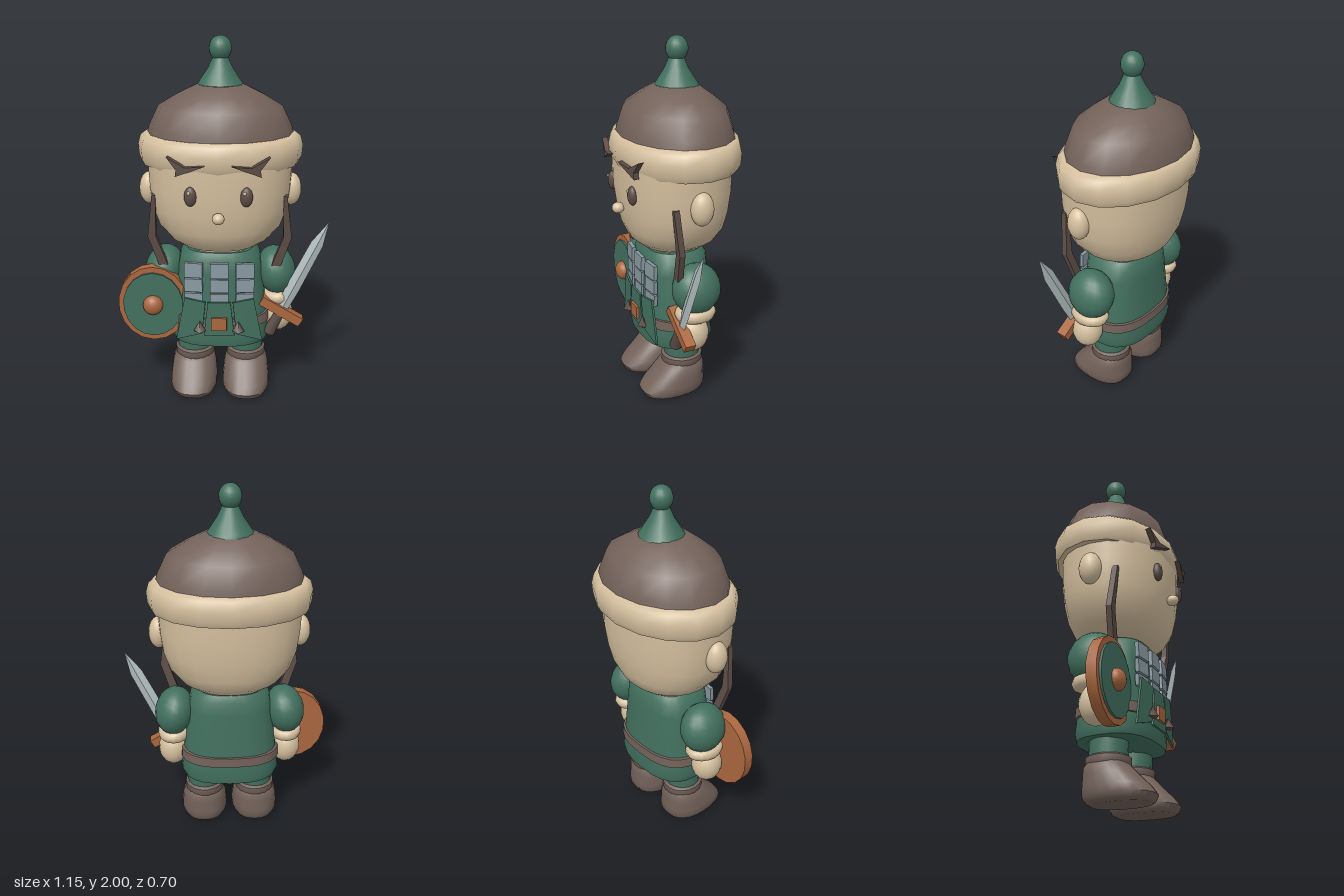
import * as THREE from 'three';
import { toCreasedNormals } from 'three/addons/utils/BufferGeometryUtils.js';

const paint = (name, color) => new THREE.MeshStandardMaterial({ name, color });

// Surface through stacked rings: [y, halfWidth, halfDepth, centreZ]
function loft(rings, { segs = 24, power = 2, crease = 0.75 } = {}) {
  const pos = [], idx = [];
  const curve = (v) => Math.sign(v) * Math.pow(Math.abs(v), 2 / power);
  for (const [y, rx, rz, cz = 0] of rings) {
    for (let i = 0; i < segs; i++) {
      const t = (i / segs) * Math.PI * 2;
      pos.push(rx * curve(Math.cos(t)), y, cz + rz * curve(Math.sin(t)));
    }
  }
  for (let r = 0; r < rings.length - 1; r++) {
    for (let i = 0; i < segs; i++) {
      const j = (i + 1) % segs, a = r * segs + i, b = r * segs + j;
      idx.push(a, a + segs, b, b, a + segs, b + segs);
    }
  }
  const last = (rings.length - 1) * segs, low = pos.length / 3;
  const first = rings[0], top = rings[rings.length - 1];
  pos.push(0, first[0], first[3] || 0, 0, top[0], top[3] || 0);
  for (let i = 0; i < segs; i++) {
    const j = (i + 1) % segs;
    idx.push(low, i, j, low + 1, last + j, last + i);
  }
  const g = new THREE.BufferGeometry();
  g.setAttribute('position', new THREE.Float32BufferAttribute(pos, 3));
  g.setIndex(idx);
  return toCreasedNormals(g, crease);
}

// Flat plate cut from an outline, centred on its thickness
function plate(points, depth) {
  const shape = new THREE.Shape(points.map(([x, y]) => new THREE.Vector2(x, y)));
  return new THREE.ExtrudeGeometry(shape, { depth, bevelEnabled: false }).translate(0, 0, -depth / 2);
}

const ball = (rx, ry, rz) => new THREE.SphereGeometry(1, 18, 12).scale(rx, ry, rz);
const box = (w, h, d) => new THREE.BoxGeometry(w, h, d);

export function createModel() {
  const skin = paint('skin', 0xd6c1a0), brown = paint('brown leather', 0x73625a);
  const dark = paint('dark brown', 0x5d4d47), green = paint('green cloth', 0x42705f);
  const orange = paint('orange wood', 0xab673f), steel = paint('steel', 0xb4c0c0);
  const armour = paint('armour grey', 0x8798a0);

  const model = new THREE.Group();
  const figure = new THREE.Group();
  figure.name = 'figure';
  figure.position.x = -0.015;
  model.add(figure);

  const add = (parent, name, geo, mat, x = 0, y = 0, z = 0) => {
    const m = new THREE.Mesh(geo, mat);
    m.name = name;
    m.position.set(x, y, z);
    parent.add(m);
    return m;
  };

  // Head and face
  add(figure, 'head', loft([
    [0.875, 0.17, 0.15], [0.89, 0.215, 0.19], [0.93, 0.275, 0.235], [1.0, 0.335, 0.265],
    [1.1, 0.37, 0.285], [1.22, 0.385, 0.3], [1.4, 0.395, 0.3],
  ], { power: 2.2, crease: 1 }), skin, 0, 0, 0.005);
  add(figure, 'nose', ball(0.032, 0.03, 0.034), skin, 0, 1.115, 0.315);

  // Hat: fur brim, dome, cone and bobble
  add(figure, 'hatBrim', loft([
    [1.34, 0.38, 0.28], [1.34, 0.425, 0.318], [1.37, 0.44, 0.333], [1.43, 0.444, 0.337],
    [1.48, 0.43, 0.325], [1.5, 0.405, 0.305], [1.5, 0.37, 0.28],
  ], { segs: 16, crease: 1.1 }), skin, 0, 0, -0.015);
  add(figure, 'hatDome', loft([
    [1.48, 0.395, 0.305], [1.53, 0.383, 0.297], [1.64, 0.33, 0.262], [1.7, 0.23, 0.19], [1.752, 0.122, 0.118],
  ], { segs: 16, crease: 1 }), brown, 0, 0, -0.018);
  add(figure, 'hatCone', loft([
    [1.74, 0.128, 0.122], [1.76, 0.115, 0.11], [1.83, 0.068, 0.065], [1.9, 0.034, 0.034],
  ], { segs: 16 }), green, 0, 0, -0.028);
  add(figure, 'hatBobble', ball(0.06, 0.066, 0.06), green, 0, 1.934, -0.03);

  // Tunic, neck and belt
  add(figure, 'tunic', loft([
    [0.315, 0.235, 0.18], [0.325, 0.268, 0.2], [0.36, 0.283, 0.207], [0.45, 0.272, 0.2], [0.6, 0.255, 0.19],
    [0.75, 0.237, 0.182], [0.83, 0.222, 0.176], [0.867, 0.185, 0.155],
  ], { power: 2.6 }), green, 0, 0, 0.01);
  add(figure, 'collar', loft([[0.84, 0.17, 0.145], [0.885, 0.165, 0.14]], { power: 2.4 }), skin, 0, 0, 0.01);
  add(figure, 'belt', loft([
    [0.435, 0.27, 0.19], [0.44, 0.284, 0.208], [0.495, 0.28, 0.206], [0.5, 0.255, 0.18],
  ], { power: 2.6 }), brown, 0, 0, 0.008);

  // Apron panel and buckle
  add(figure, 'apronCentre', plate([[-0.085, 0.4], [0.085, 0.4], [0.062, 0.6], [-0.062, 0.6]], 0.012), green, 0, 0, 0.218);
  add(figure, 'buckle', box(0.085, 0.075, 0.022), orange, 0, 0.475, 0.228);

  // Breastplate of nine small plates
  const rows = [[0.778, 0.083], [0.69, 0.074], [0.612, 0.062]];
  for (let c = -1; c <= 1; c++) {
    for (const [y, h] of rows) {
      const p = add(figure, 'armourPlate', box(0.1, h, 0.022), armour, c * 0.14, y, c ? 0.188 : 0.197);
      p.rotation.y = c * 0.12;
      p.rotation.x = -0.04;
    }
  }

  // Paired parts
  for (const s of [-1, 1]) {
    const side = s > 0 ? 'left' : 'right';
    const flip = (pts) => pts.map(([x, y]) => [x * s, y]);

    add(figure, side + 'Ear', ball(0.055, 0.09, 0.062), skin, s * 0.387, 1.19, 0.008);
    add(figure, side + 'Eye', ball(0.033, 0.052, 0.026), dark, s * 0.143, 1.225, 0.288);
    add(figure, side + 'EyeGlint', ball(0.008, 0.01, 0.005), skin, s * 0.143 - 0.008, 1.25, 0.311);

    const brow = add(figure, side + 'Brow', plate(flip([
      [0.11, 0.055], [0.015, 0.005], [-0.085, 0.015], [-0.02, -0.012], [0.065, -0.045], [0.06, -0.01],
    ]), 0.03), dark, s * 0.152, 1.38, 0.306);
    brow.rotation.y = s * 0.2;

    const strap = add(figure, side + 'Strap', plate(flip([
      [0.34, 0.19], [0.36, 0.19], [0.39, -0.05], [0.335, -0.22], [0.285, -0.22], [0.345, -0.05],
    ]), 0.032), dark, 0, 1.0, 0.122);
    strap.rotation.x = 0.08;

    const flap = add(figure, side + 'ApronFlap', plate(flip([
      [0.095, 0.41], [0.24, 0.365], [0.19, 0.62], [0.075, 0.6],
    ]), 0.012), green, 0, 0, 0.226);
    flap.rotation.y = s * 0.12;
    add(figure, side + 'Stud', new THREE.ConeGeometry(0.034, 0.06, 4), dark, s * 0.106, 0.462, 0.228);

    // Arm
    const sleeve = add(figure, side + 'Sleeve', ball(0.11, 0.14, 0.138), green, s * 0.315, 0.71, 0);
    sleeve.rotation.z = s * 0.2;
    add(figure, side + 'Cuff', loft([
      [0.535, 0.07, 0.085], [0.545, 0.085, 0.105], [0.57, 0.092, 0.117], [0.595, 0.087, 0.11], [0.605, 0.07, 0.09],
    ], { segs: 16, crease: 1.2 }), skin, s * 0.322, 0, 0.008);
    add(figure, side + 'Hand', ball(0.085, 0.107, 0.088), skin, s * 0.328, 0.457, 0.025);

    // Leg and boot
    add(figure, side + 'Leg', loft([[0.2, 0.098, 0.1], [0.36, 0.1, 0.104]], { segs: 16 }), green, s * 0.148, 0, 0.006);
    add(figure, side + 'BootCuff', loft([
      [0.185, 0.105, 0.11], [0.195, 0.112, 0.118], [0.232, 0.112, 0.118], [0.242, 0.098, 0.103],
    ], { segs: 18 }), brown, s * 0.148, 0, 0.006);
    add(figure, side + 'Boot', loft([
      [0, 0.1, 0.155, 0.075], [0.012, 0.12, 0.175, 0.072], [0.04, 0.134, 0.19, 0.07], [0.08, 0.134, 0.175, 0.056],
      [0.14, 0.127, 0.142, 0.028], [0.18, 0.118, 0.123, 0.01], [0.205, 0.1, 0.105, 0.006],
    ], { power: 2.4, crease: 0.9 }), brown, s * 0.15, 0, 0);
  }

  // Round shield
  const shield = new THREE.Group();
  shield.name = 'shield';
  shield.position.set(-0.385, 0.55, 0.1);
  model.add(shield);
  const disc = (r, d) => toCreasedNormals(
    new THREE.CylinderGeometry(r, r, d, 18).rotateX(Math.PI / 2).scale(0.88, 1, 1), 0.5);
  add(shield, 'shieldRim', disc(0.222, 0.056), orange, 0, 0, 0.015);
  add(shield, 'shieldFace', disc(0.19, 0.02), green, 0, 0, 0.045);
  add(shield, 'shieldBoss', ball(0.056, 0.057, 0.045), orange, 0, 0, 0.057);

  // Sword
  const sword = new THREE.Group();
  sword.name = 'sword';
  sword.position.set(0.328, 0.505, 0.103);
  sword.rotation.z = -0.44;
  model.add(sword);
  add(sword, 'blade', loft([
    [0.01, 0.034, 0.014], [0.15, 0.039, 0.015], [0.44, 0.035, 0.013], [0.577, 0.002, 0.002],
  ], { segs: 4, crease: 0.3 }), steel);
  add(sword, 'guard', box(0.26, 0.052, 0.06), orange).rotation.z = -0.1;
  add(sword, 'grip', new THREE.CylinderGeometry(0.028, 0.034, 0.14, 10), dark, 0, -0.085, 0);

  return model;
}
